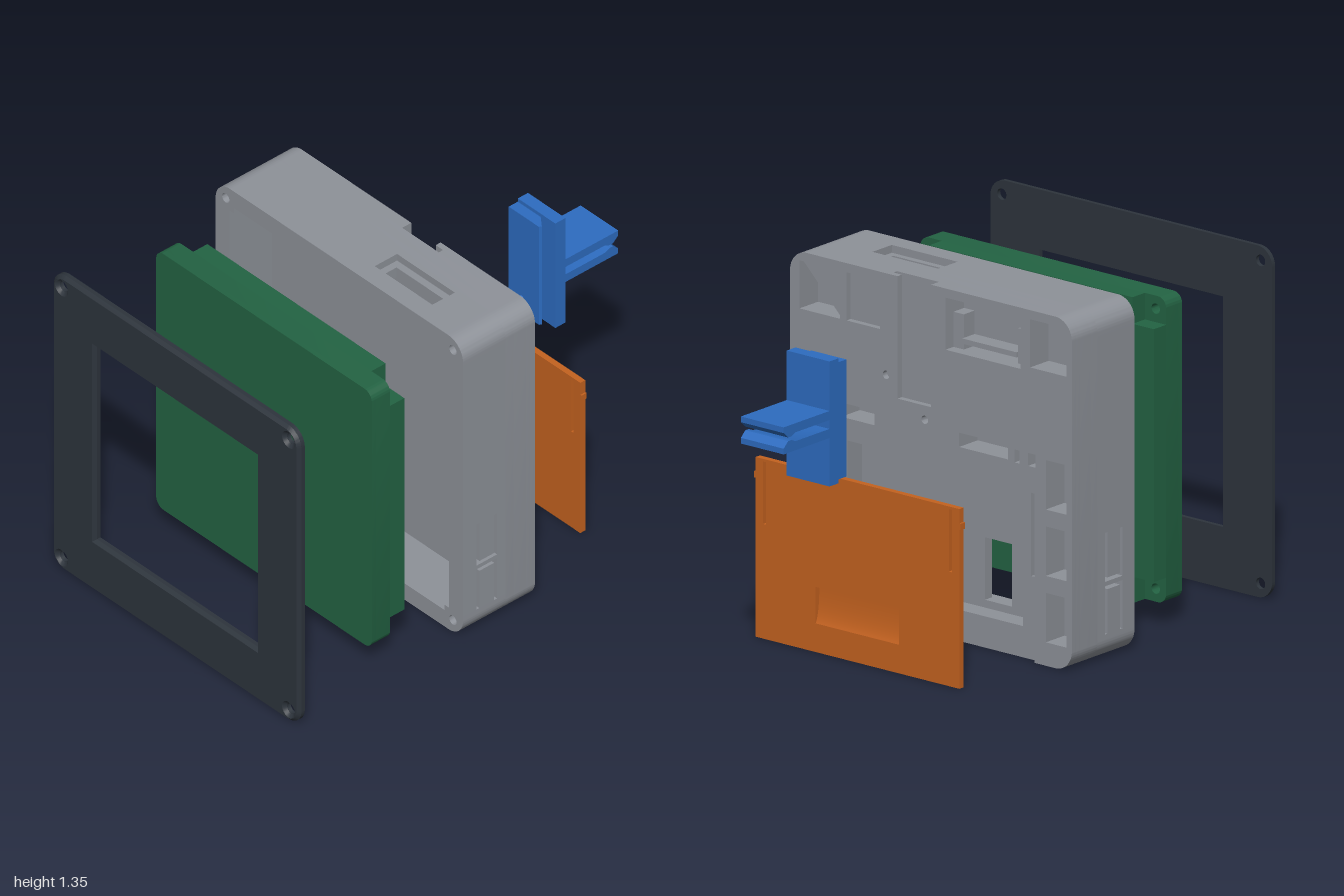
import * as THREE from 'three';
import { toCreasedNormals } from 'three/addons/utils/BufferGeometryUtils.js';

const mat = (name, color) => Object.assign(new THREE.MeshStandardMaterial({ color }), { name });
const H = 0.675; // half size of casing and bezel

// Rounded rectangle; dents are [x0, x1, depth] cut into the bottom or top edge
function rounded(x0, x1, y0, y1, r, bottomDents = [], topDents = [], Type = THREE.Shape) {
  const s = new Type();
  s.moveTo(x0 + r, y0);
  for (const [a, b, d] of bottomDents) {
    s.lineTo(a, y0); s.lineTo(a, y0 + d); s.lineTo(b, y0 + d); s.lineTo(b, y0);
  }
  s.lineTo(x1 - r, y0);
  s.absarc(x1 - r, y0 + r, r, -Math.PI / 2, 0, false);
  s.lineTo(x1, y1 - r);
  s.absarc(x1 - r, y1 - r, r, 0, Math.PI / 2, false);
  for (const [a, b, d] of topDents) {
    s.lineTo(b, y1); s.lineTo(b, y1 - d); s.lineTo(a, y1 - d); s.lineTo(a, y1);
  }
  s.lineTo(x0 + r, y1);
  s.absarc(x0 + r, y1 - r, r, Math.PI / 2, Math.PI, false);
  s.lineTo(x0, y0 + r);
  s.absarc(x0 + r, y0 + r, r, Math.PI, Math.PI * 1.5, false);
  return s;
}
const poly = (pts, Type = THREE.Shape) => new Type(pts.map(p => new THREE.Vector2(...p)));
const rect = (x0, x1, y0, y1, Type = THREE.Shape) => poly([[x0, y0], [x1, y0], [x1, y1], [x0, y1]], Type);
const hole = (x0, x1, y0, y1) => rect(x0, x1, y0, y1, THREE.Path);
const round = (x, y, r) => new THREE.Path().absarc(x, y, r, 0, Math.PI * 2, true);

function extrude(shape, depth, holes = [], bevel = 0) {
  shape.holes.push(...holes);
  const g = new THREE.ExtrudeGeometry(shape, {
    depth, curveSegments: 12, bevelEnabled: bevel > 0, bevelSize: bevel, bevelThickness: bevel, bevelSegments: 1,
  });
  return toCreasedNormals(g, 0.5);
}
function add(parent, name, geometry, material) {
  const m = new THREE.Mesh(geometry, material);
  m.name = name;
  parent.add(m);
  return m;
}
const slab = (shape, z0, z1, holes) => extrude(shape, z1 - z0, holes).translate(0, 0, z0);
// Profile drawn in (z, y), extruded from x0 to x1
const sideSlab = (shape, x0, x1, holes) => extrude(shape, x1 - x0, holes).rotateY(-Math.PI / 2).translate(x1, 0, 0);
// Profile drawn in (x, z), extruded from y0 to y1
const flatSlab = (shape, y0, y1, holes) => extrude(shape, y1 - y0, holes).rotateX(Math.PI / 2).translate(0, y1, 0);
const box = (x0, x1, y0, y1, z0, z1) =>
  new THREE.BoxGeometry(x1 - x0, y1 - y0, z1 - z0).translate((x0 + x1) / 2, (y0 + y1) / 2, (z0 + z1) / 2);
const group = (parent, name) => { const g = new THREE.Group(); g.name = name; parent.add(g); return g; };

function buildBezel(root, dark) {
  const g = group(root, 'frontBezel');
  const screws = r => [-0.62, 0.62].flatMap(x => [0.055, 1.295].map(y => round(x, y, r)));
  add(g, 'bezelBack', slab(rounded(-H, H, 0, 1.35, 0.07), 0.97, 0.987,
    [hole(-0.44, 0.44, 0.235, 1.12), ...screws(0.022)]), dark);
  // bevelled front gives the chamfered rim, window edge and countersinks
  add(g, 'bezelFront', extrude(rounded(-H + 0.013, H - 0.013, 0.013, 1.337, 0.058), 0.001,
    [hole(-0.453, 0.453, 0.222, 1.133), ...screws(0.036)], 0.013).translate(0, 0, 0.986), dark);
}

function buildModule(root, green) {
  const g = group(root, 'displayModule');
  const [x0, x1, y0, y1, n] = [-0.59, 0.587, 0.09, 1.265, 0.102];
  const corners = [x0 + 0.05, x1 - 0.05].flatMap(x => [y0 + 0.05, y1 - 0.05].map(y => round(x, y, 0.02)));
  add(g, 'displayBody', slab(rounded(x0, x1, y0, y1, 0.04), 0.47, 0.54, corners), green);
  add(g, 'displayFace', slab(rounded(x0, x1, y0, y1, 0.04), 0.54, 0.56), green);
  // back is notched at the four screw corners
  add(g, 'displayBack', slab(poly([[x0 + n, y0], [x1 - n, y0], [x1 - n, y0 + n], [x1, y0 + n], [x1, y1 - n],
    [x1 - n, y1 - n], [x1 - n, y1], [x0 + n, y1], [x0 + n, y1 - n], [x0, y1 - n], [x0, y0 + n], [x0 + n, y0 + n]]),
  0.4, 0.47), green);
  add(g, 'bottomConnector', box(-0.15, 0.05, 0.078, 0.12, 0.41, 0.468), green);
}

function buildCasing(root, grey) {
  const g = group(root, 'casing');
  const pockets = () => [
    hole(0.435, 0.63, 1.13, 1.315), hole(0.245, 0.405, 1.13, 1.315),
    hole(-0.43, -0.07, 1.115, 1.315), hole(-0.65, -0.475, 1.13, 1.315),
    hole(-0.37, -0.135, 0.755, 0.81), hole(0.27, 0.43, 0.755, 0.81),
    hole(-0.425, -0.4, 0.75, 0.8), hole(-0.5, -0.465, 0.75, 0.8),
    round(0.215, 0.96, 0.016), round(0.03, 0.825, 0.016),
    ...[-0.65, 0.55].flatMap(x => [0.6, 0.345, 0.09].map(y => hole(x, x + 0.1, y, y + 0.19))),
  ];
  const cavity = () => hole(-0.42, 0.42, 0.12, 0.66);
  const catches = () => [-0.48, 0.46].map(x => hole(x, x + 0.02, 0.32, 0.64));
  const outline = (lid, groove) => rounded(-H, H, 0, 1.35, 0.08, lid, groove);
  // rear wall in layers: lid recess, clip groove, pockets and floor
  add(g, 'rearFace', slab(outline([[-0.495, 0.495, 0.695]], [[0, 0.16, 0.47]]), -0.165, -0.141, pockets()), grey);
  add(g, 'grooveLayer', slab(outline([], [[0, 0.2, 0.47]]), -0.141, -0.12,
    [...pockets(), cavity(), ...catches()]), grey);
  add(g, 'pocketLayer', slab(outline(), -0.12, -0.06, [...pockets(), cavity()]), grey);
  add(g, 'floor', slab(outline(), -0.06, -0.02, [hole(-0.3, -0.17, 0.15, 0.39)]), grey);
  for (const x of [-0.43, -0.12]) add(g, 'terminalLedge', box(x, x + 0.05, 1.115, 1.25, -0.12, -0.06), grey);
  add(g, 'terminalBar', box(-0.38, -0.12, 1.14, 1.16, -0.13, -0.06), grey);

  // screw corners, the same block turned four times about the casing centre
  for (let k = 0; k < 4; k++) {
    const s = new THREE.Shape().moveTo(H - 0.1, H - 0.1).lineTo(H, H - 0.1).lineTo(H, H - 0.08)
      .absarc(H - 0.08, H - 0.08, 0.08, 0, Math.PI / 2, false).lineTo(H - 0.1, H);
    add(g, 'screwCorner', slab(s, -0.02, 0.19, [round(0.62, 0.62, 0.02)])
      .rotateZ(k * Math.PI / 2).translate(0, H, 0), grey);
  }
  // side walls with two facing U-shaped slots that free the latch tabs
  const [a, b, w] = [0.022, 0.123, 0.014];
  const slot = (bar, end, t) => poly([[a, end], [a, bar], [b, bar], [b, end], [b - w, end], [b - w, bar + t],
    [a + w, bar + t], [a + w, end]], THREE.Path);
  for (const x of [-H, H - 0.075]) {
    add(g, 'sideWall', sideSlab(rect(-0.02, 0.19, 0.1, 1.25), x, x + 0.075,
      [slot(0.302, 0.49, w), slot(0.285, 0.1, -w)]), grey);
  }
  // top wall with a stepped socket, bottom wall with a plain one
  const wall = () => rect(-H + 0.1, H - 0.1, -0.02, 0.19);
  add(g, 'topWallOuter', flatSlab(wall(), 1.32, 1.35, [hole(0.105, 0.42, 0, 0.11)]), grey);
  add(g, 'topWallInner', flatSlab(wall(), 1.275, 1.32, [hole(0.135, 0.39, 0.03, 0.085)]), grey);
  add(g, 'bottomWall', flatSlab(wall(), 0, 0.075, [hole(-0.2, 0.1, 0.01, 0.11)]), grey);
}

function buildLid(root, orange) {
  const g = group(root, 'batteryLid');
  const [z0, z1] = [-0.582, -0.557];
  add(g, 'lidPanel', slab(rect(-0.488, 0.488, 0, 0.69), z0, z1,
    [hole(-0.2, 0.2, 0.11, 0.25), hole(-0.452, -0.438, 0.44, 0.68), hole(0.438, 0.452, 0.44, 0.68)]), orange);
  // curved finger scoop
  const scoop = new THREE.Shape().moveTo(z1, 0.11).lineTo(z1, 0.25).lineTo(z1 - 0.004, 0.25)
    .quadraticCurveTo(z1 - 0.004, 0.15, z0, 0.11);
  add(g, 'fingerScoop', sideSlab(scoop, -0.2, 0.2), orange);
  for (const x of [-0.495, 0.483]) add(g, 'lidCatch', box(x, x + 0.012, 0.61, 0.635, z0, z1), orange);
}

function buildClip(root, blue) {
  const g = group(root, 'mountingClip');
  add(g, 'clipPlate', box(0, 0.205, 0.715, 1.195, -0.74, -0.69), blue);
  // one-sided dovetail that slides in the casing groove
  add(g, 'dovetail', flatSlab(poly([[0, -0.69], [0.125, -0.69], [0.17, -0.655], [0.165, -0.645], [0, -0.645]]),
    0.73, 1.18), blue);
  const bump = add(g, 'detentBump', new THREE.SphereGeometry(0.012, 12, 8), blue);
  bump.position.set(0.07, 0.8, -0.645);
  // two barbed arms, mirrored about the middle of the gap
  for (const s of [1, -1]) {
    const y = v => 0.953 + s * v;
    add(g, 'clipArm', sideSlab(poly([[-0.74, y(0.052)], [-1, y(0.052)], [-1, y(0.03)], [-0.975, y(0.007)],
      [-0.955, y(0.007)], [-0.935, y(0.017)], [-0.74, y(0.017)]]), 0, 0.205), blue);
  }
}

export function createModel() {
  const root = new THREE.Group();
  root.name = 'explodedWallUnit';
  buildBezel(root, mat('charcoal', 0x2d343c));
  buildModule(root, mat('green', 0x236343));
  buildCasing(root, mat('grey', 0x8e9299));
  buildLid(root, mat('orange', 0xc4621f));
  buildClip(root, mat('blue', 0x2d6cc0));
  return root;
}
